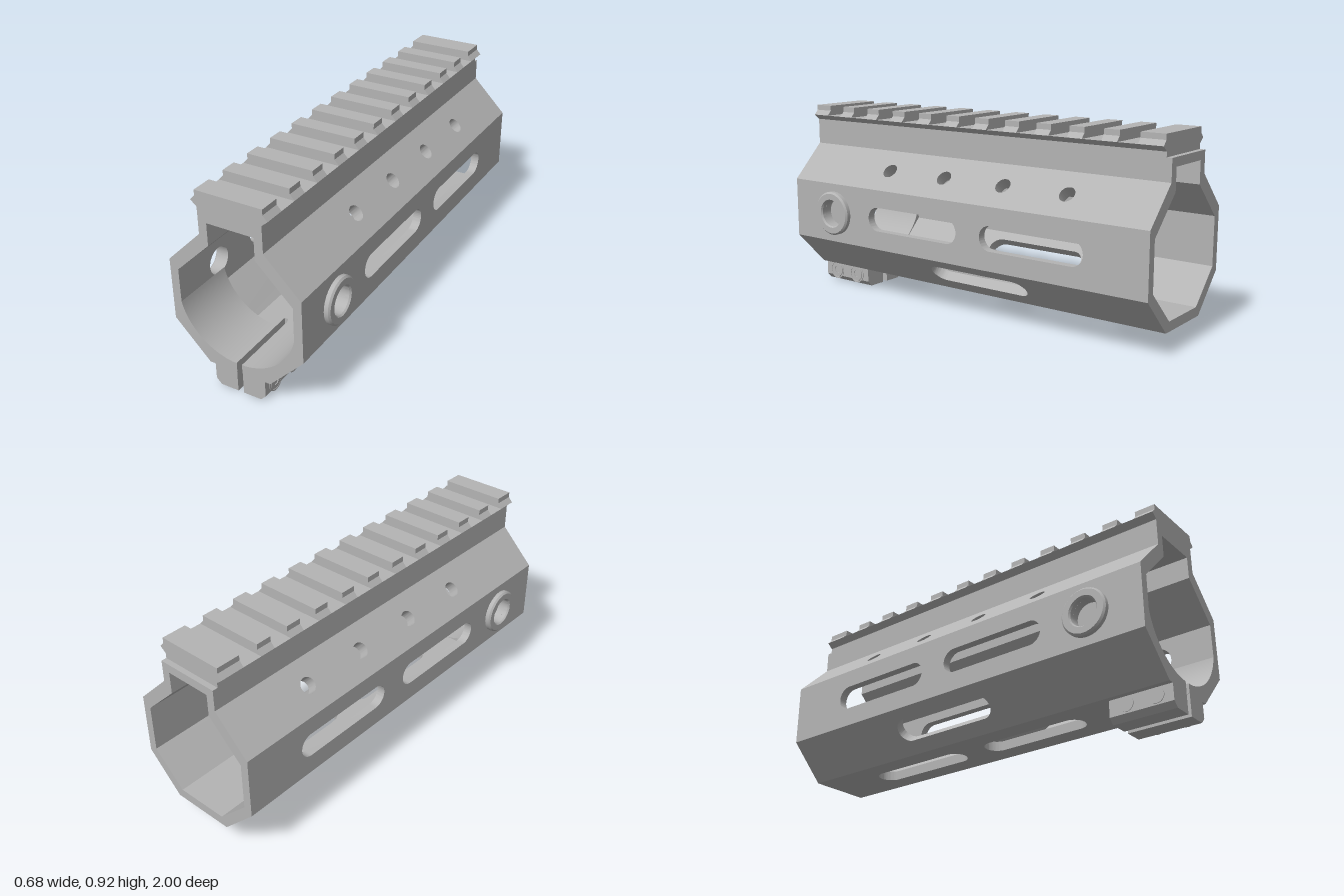
import * as THREE from 'three';
import { toCreasedNormals } from 'three/addons/utils/BufferGeometryUtils.js';

const V = (x, y) => new THREE.Vector2(x, y);

export function createModel() {
  const group = new THREE.Group();
  const metal = new THREE.MeshStandardMaterial({ color: 0xb4b4b4 });
  metal.name = 'grey metal';

  const add = (name, geometry) => {
    const mesh = new THREE.Mesh(toCreasedNormals(geometry, 0.6), metal);
    mesh.name = name;
    group.add(mesh);
    return mesh;
  };
  const extrude = (shape, depth) =>
    new THREE.ExtrudeGeometry(shape, { depth, bevelEnabled: false, curveSegments: 20 });
  // Cross-section in x/y swept between two z positions
  const prism = (name, shape, z0, z1) => add(name, extrude(shape, z1 - z0).translate(0, 0, z0));

  const circle = (x, y, r) => new THREE.Path().absarc(x, y, r, 0, Math.PI * 2, true);
  const slot = (x, y, r, half) => {
    const p = new THREE.Path();
    p.absarc(x, y + half - r, r, 0, Math.PI, false);
    p.absarc(x, y - half + r, r, Math.PI, Math.PI * 2, false);
    p.closePath();
    return p;
  };

  // Shell corners, counter-clockwise from the bottom of the +x side
  const mirrored = (pts) => [...pts, ...pts.map((p) => V(-p.x, p.y)).reverse()];
  const outer = mirrored([V(0.15, 0.1), V(0.315, 0.27), V(0.315, 0.56), V(0.15, 0.725), V(0.15, 0.825)]);
  const inner = mirrored([V(0.125, 0.145), V(0.275, 0.295), V(0.275, 0.52), V(0.11, 0.682), V(0.11, 0.785)]);

  const socketZ = 0.735, socketY = 0.415;
  const longSlots = (s) => [0.2375, -0.43].map((z) => slot(s, z, 0.0575, 0.2675));

  // One flat wall of the shell with cut-outs and mitred long edges
  function wall(name, i, makeHoles, slit) {
    const j = (i + 1) % outer.length;
    const A = outer[i], B = outer[j];
    const u = B.clone().sub(A), w = u.length();
    u.divideScalar(w);
    const n = V(u.y, -u.x);
    const shape = new THREE.Shape();
    shape.moveTo(0, -1).lineTo(w, -1).lineTo(w, 1);
    if (slit) {
      const c = w / 2;
      shape.lineTo(c + 0.013, 1).lineTo(c + 0.013, 0.64).lineTo(c - 0.013, 0.64).lineTo(c - 0.013, 1);
    }
    shape.lineTo(0, 1).closePath();
    shape.holes = makeHoles ? makeHoles(w) : [];

    const t = 0.042, g = extrude(shape, t).translate(0, 0, -t);
    const pos = g.attributes.position;
    for (let k = 0; k < pos.count; k++) {
      if (pos.getZ(k) > -t / 2) continue;
      const s = pos.getX(k);
      const corner = s < 1e-5 ? inner[i] : s > w - 1e-5 ? inner[j] : null;
      const depthA = inner[i].clone().sub(A).dot(n), depthB = inner[j].clone().sub(A).dot(n);
      pos.setZ(k, THREE.MathUtils.lerp(depthA, depthB, s / w));
      if (corner) pos.setX(k, corner.clone().sub(A).dot(u));
    }
    g.applyMatrix4(new THREE.Matrix4().makeBasis(
      new THREE.Vector3(u.x, u.y, 0), new THREE.Vector3(0, 0, 1), new THREE.Vector3(n.x, n.y, 0),
    ).setPosition(A.x, A.y, 0));
    g.computeVertexNormals();
    add(name, g);
  }

  const lowerHoles = (w) => [slot(w * 0.53, -0.0975, 0.0565, 0.2675)];
  const upperHoles = (w) => [0.435, 0.102, -0.232, -0.565].map((z) => circle(w / 2, z, 0.037));
  const sideHoles = (top) => (w) => {
    const s = top ? 0.56 - 0.4175 : 0.4175 - 0.27;
    const sc = top ? 0.56 - socketY : socketY - 0.27;
    return [...longSlots(s), circle(sc, socketZ, 0.064)];
  };
  wall('lowerWallLeft', 0, lowerHoles);
  wall('sideWallLeft', 1, sideHoles(false));
  wall('upperWallLeft', 2, upperHoles);
  wall('neckLeft', 3);
  wall('roof', 4);
  wall('neckRight', 5);
  wall('upperWallRight', 6, upperHoles);
  wall('sideWallRight', 7, sideHoles(true));
  wall('lowerWallRight', 8, (w) => [slot(w * 0.47, -0.0975, 0.0565, 0.2675)]);
  wall('floor', 9, (w) => longSlots(w / 2), true);

  // Top rail with its row of cross teeth
  prism('railBase', new THREE.Shape(mirrored([V(0.15, 0.825), V(0.15, 0.848), V(0.178, 0.872)])), -0.975, 1);
  const tooth = new THREE.Shape(mirrored([V(0.178, 0.872), V(0.157, 0.895), V(0.157, 0.92)]));
  prism('railToothFront', tooth, 0.905, 1);
  for (let i = 0; i < 10; i++) {
    const z = 0.7775 - i * 0.1672;
    prism('railTooth', tooth, z - 0.0375, z + 0.0375);
  }
  prism('railToothBack', tooth, -0.975, -0.86);

  for (const side of [1, -1]) {
    // Round seat lining the lower front of the bore
    const seat = new THREE.Shape([V(0.0335, 0.145), V(0.125, 0.145), V(0.275, 0.295), V(0.275, 0.363)]
      .concat(Array.from({ length: 23 }, (_, i) => {
        const a = THREE.MathUtils.lerp(Math.atan2(-0.062, 0.275), Math.atan2(-0.28, 0.0335), (i + 1) / 24);
        return V(0.282 * Math.cos(a), 0.425 + 0.282 * Math.sin(a));
      })).map((p) => V(p.x * side, p.y)));
    prism('boreSeat', seat, 0.705, 1);

    // Clamp lug under the front
    const lug = [V(0.014, 0), V(0.1, 0), V(0.124, 0.025), V(0.124, 0.102), V(0.014, 0.102)];
    prism('clampLug', new THREE.Shape(lug.map((p) => V(p.x * side, p.y))), 0.705, 1);

    // Round socket on the side wall, lathed around x
    const socket = [[0, 0.28], [0.064, 0.28], [0.064, 0.334], [0.07, 0.342], [0.099, 0.342], [0.107, 0.334],
      [0.107, 0.314]].map(([r, h]) => V(r, h));
    const g = new THREE.LatheGeometry(socket.reverse(), 48);
    // Make every face point away from the solid ring
    const nrm = g.attributes.normal;
    if (nrm.getY(2 + socket.length) < 0 && nrm.getY(3) < 0) g.index.array.reverse();
    g.computeVertexNormals();
    g.rotateZ(-side * Math.PI / 2).translate(0, socketY, socketZ);
    add('sideSocket', g).material = metal;
  }

  // Clamp screws: hex-socket heads on one lug, plain ends on the other
  for (const z of [0.925, 0.785]) {
    const head = new THREE.Shape().absarc(0, 0, 0.036, 0, Math.PI * 2, false);
    head.holes.push(new THREE.Path(Array.from({ length: 6 }, (_, i) =>
      V(0.02 * Math.cos(i * Math.PI / 3), 0.02 * Math.sin(i * Math.PI / 3)))));
    add('screwHead', extrude(head, 0.028).rotateY(Math.PI / 2).translate(0.1, 0.056, z));
    const rim = new THREE.Shape().absarc(0, 0, 0.046, 0, Math.PI * 2, false);
    rim.holes.push(circle(0, 0, 0.04));
    add('screwRim', extrude(rim, 0.022).rotateY(Math.PI / 2).translate(0.105, 0.056, z));
    add('screwEnd', new THREE.CylinderGeometry(0.034, 0.034, 0.02, 24)
      .rotateZ(Math.PI / 2).translate(-0.117, 0.065, z));
  }
  return group;
}
